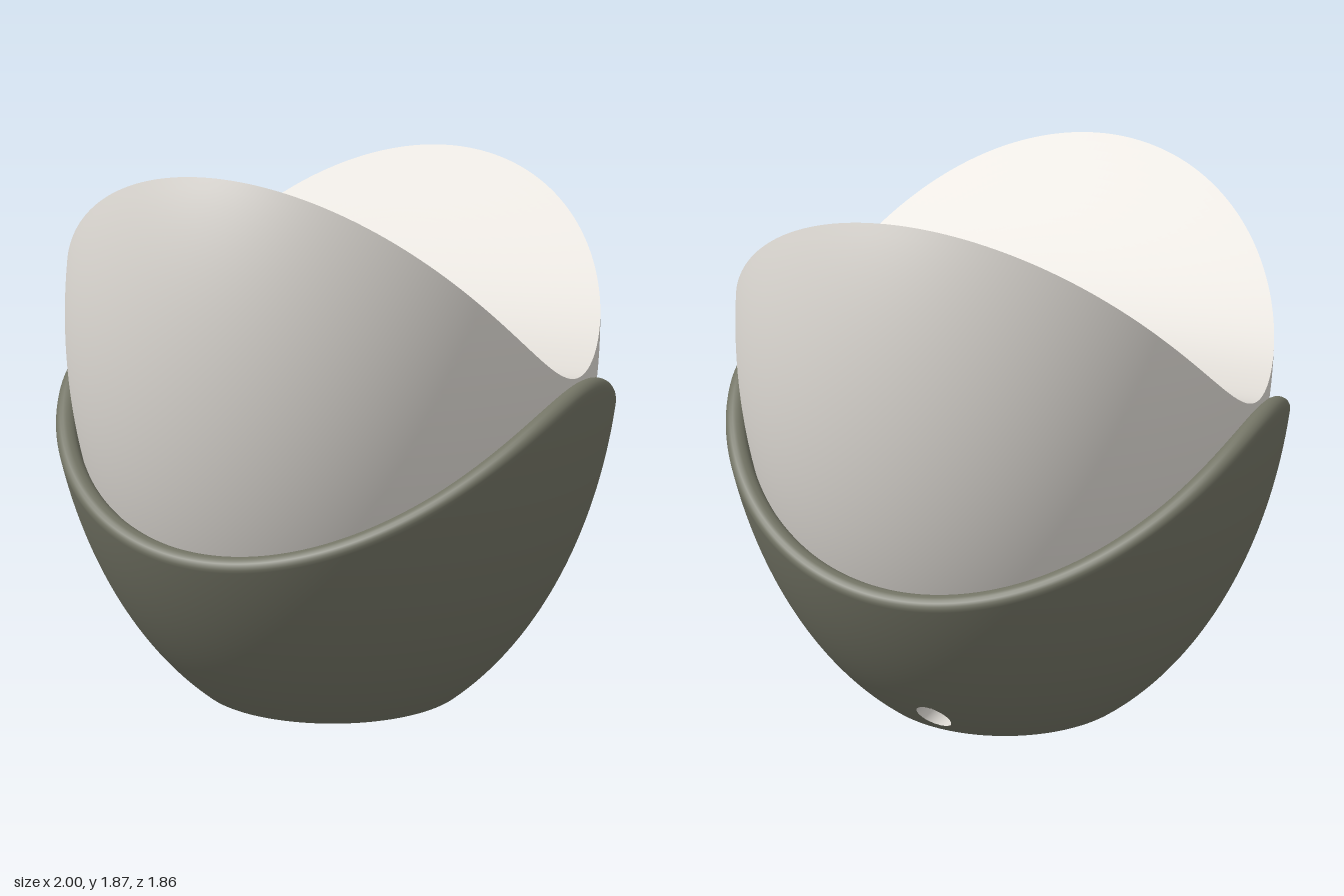
import * as THREE from 'three';
import { toCreasedNormals } from 'three/addons/utils/BufferGeometryUtils.js';

const N = 256; // steps around the y axis

// Both bodies are ellipsoids centred at y = 1.3
const ellipse = (a, b) => (y) => a * Math.sqrt(Math.max(0, 1 - ((y - 1.3) / b) ** 2));
const eggR = ellipse(0.93, 1.4);
const cupR = ellipse(1.005, 1.48);

// Saddle curves: the valley on top of the egg and the wavy rim of the cup
const valley = (z) => 1.19 + Math.sqrt(0.39 ** 2 + (1.18 * z) ** 2) - 0.39;
const rim = (z) => 1.19 - (Math.sqrt(0.4 ** 2 + (0.95 * z) ** 2) - 0.4);

// Height at which a saddle curve meets a body of revolution, at angle t
function meet(curve, radius, t) {
  let y = 1;
  for (let i = 0; i < 30; i++) y = curve(radius(y) * Math.sin(t));
  return y;
}

// Closed loops of points stacked in rows; point(t, row) -> [x, y, z, isInsideCut]
function loft(rows, point) {
  const pos = [], cut = [], index = [];
  for (let i = 0; i < N; i++) {
    for (let j = 0; j <= rows; j++) {
      const p = point((i / N) * Math.PI * 2, j);
      pos.push(p[0], p[1], p[2]);
      cut.push(p[3]);
    }
  }
  const tri = (a, b, c) => { if (!(cut[a] && cut[b] && cut[c])) index.push(a, b, c); };
  for (let i = 0; i < N; i++) {
    for (let j = 0; j < rows; j++) {
      const a = i * (rows + 1) + j, c = ((i + 1) % N) * (rows + 1) + j;
      tri(a, a + 1, c);
      tri(c, a + 1, c + 1);
    }
  }
  const g = new THREE.BufferGeometry();
  g.setAttribute('position', new THREE.Float32BufferAttribute(pos, 3));
  g.setIndex(index);
  g.computeVertexNormals();
  return g;
}

// Turned part from [radius, y] points with sharp corners
const turned = (profile) => toCreasedNormals(loft(profile.length - 1, (t, j) =>
  [profile[j][0] * Math.cos(t), profile[j][1], profile[j][0] * Math.sin(t)]), 0.4);

export function createModel() {
  const group = new THREE.Group();
  const white = new THREE.MeshStandardMaterial({ color: 0xdedad4 });
  white.name = 'warmWhite';
  const olive = new THREE.MeshStandardMaterial({ color: 0x727364 });
  olive.name = 'oliveGrey';
  const add = (name, geometry, material) => {
    const m = new THREE.Mesh(geometry, material);
    m.name = name;
    group.add(m);
    return m;
  };

  // Egg body, cut off by the valley
  add('eggSide', loft(48, (t, j) => {
    const y = THREE.MathUtils.lerp(0.03, meet(valley, eggR, t), j / 48), r = eggR(y);
    return [r * Math.cos(t), y, r * Math.sin(t)];
  }), white);
  add('eggTop', loft(32, (t, j) => {
    const r = eggR(meet(valley, eggR, t)) * (1 - j / 32), z = r * Math.sin(t);
    return [r * Math.cos(t), valley(z), z];
  }), white);

  // Cup: outer wall with a round cable hole at the back, rounded rim, inner lip
  const H = 0.06, HY = 0.1, W = 0.035, WALL = 64, RIM = 10;
  add('cup', loft(WALL + RIM + 3, (t, j) => {
    const end = meet(rim, (y) => cupR(y) - W, t) - W;
    const out = cupR(end), inn = eggR(end) + 0.002;
    let r, y;
    if (j <= WALL) {
      y = (end * j) / WALL;
      r = cupR(y);
      const x = r * Math.cos(t), d = Math.hypot(x, y - HY);
      if (Math.sin(t) < 0 && d < 1.5 * H && d > 0) {
        // Push nearby points out onto the edge of the hole
        const inside = d <= 0.7 * H;
        const k = (inside ? H : H + (d - 0.7 * H) * 0.625) / d;
        const hx = x * k, hy = HY + (y - HY) * k;
        return [hx, hy, -Math.sqrt(cupR(hy) ** 2 - hx * hx), inside];
      }
    } else if (j <= WALL + RIM) {
      const a = ((j - WALL) / RIM) * Math.PI;
      r = (out + inn) / 2 + ((out - inn) / 2) * Math.cos(a);
      y = end + W * Math.sin(a);
    } else {
      y = end - 0.04 * (j - WALL - RIM);
      r = eggR(y) + 0.002;
    }
    return [r * Math.cos(t), y, r * Math.sin(t)];
  }), olive);

  // Lining of the cable hole
  add('cableHole', loft(1, (t, j) => {
    const x = H * Math.cos(t), y = HY + H * Math.sin(t);
    return [x, y, j ? -Math.sqrt(cupR(y) ** 2 - x * x) : -0.36];
  }).scale(1, 1, 1), white).material.side = THREE.DoubleSide;

  // Flat base with a fine groove around the socket
  add('base', turned([[0.2, 0], [0.21, 0], [0.21, 0.02], [0.225, 0.02], [0.225, 0], [cupR(0), 0]]), olive);

  // Recessed socket with a central cap and four ribs
  add('socket', turned([[0, 0.045], [0.09, 0.045], [0.12, 0.1], [0.17, 0.1], [0.2, 0]]), white);
  for (let i = 0; i < 4; i++) {
    const rib = add('socketRib', new THREE.BoxGeometry(0.08, 0.04, 0.03), white);
    const a = (i * Math.PI) / 2;
    rib.position.set(0.14 * Math.cos(a), 0.085, -0.14 * Math.sin(a));
    rib.rotation.y = a;
  }
  return group;
}
